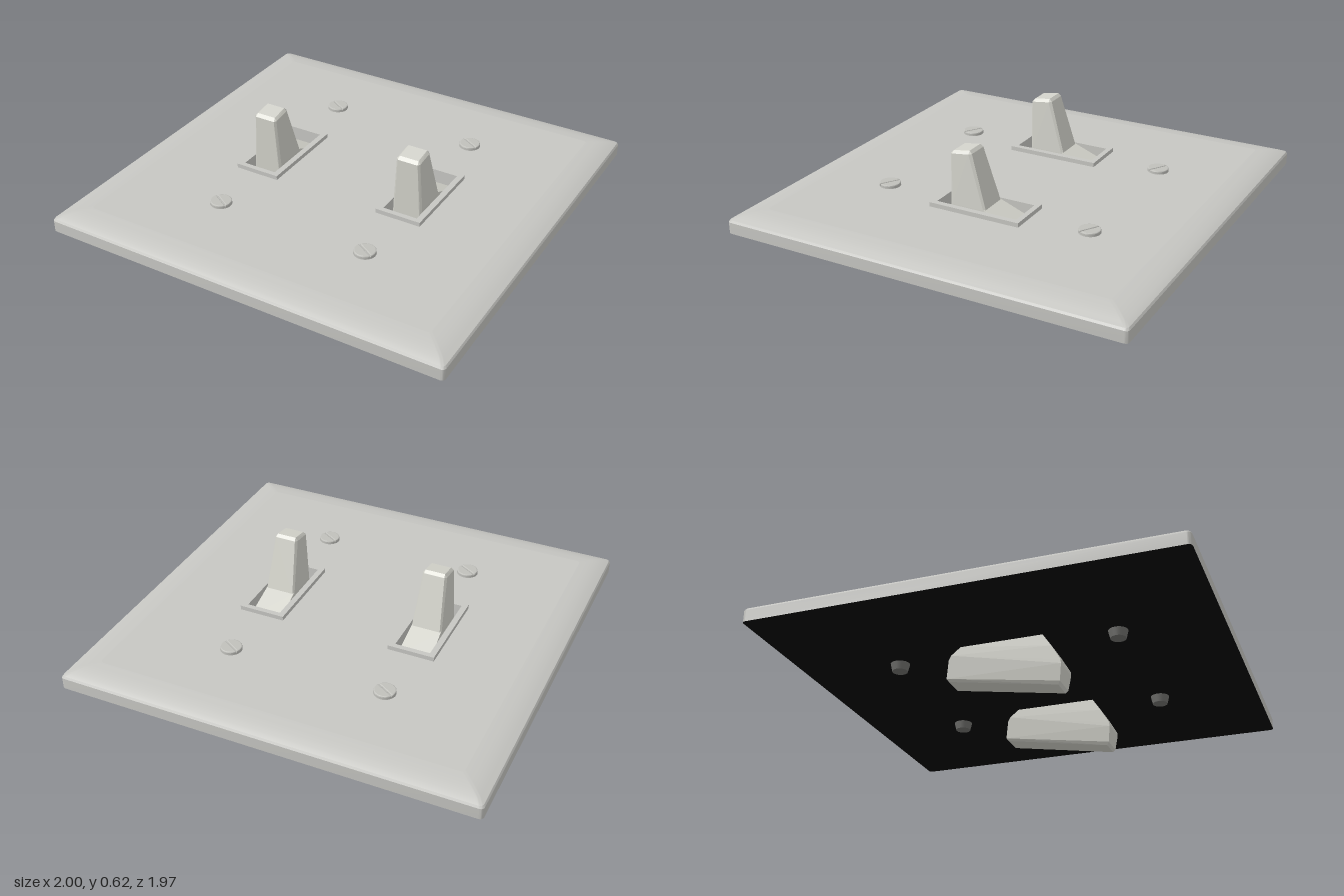
import * as THREE from 'three';
import { toCreasedNormals } from 'three/addons/utils/BufferGeometryUtils.js';
import { ConvexGeometry } from 'three/addons/geometries/ConvexGeometry.js';

const mat = (name, color) => new THREE.MeshStandardMaterial({ name, color });

// Rounded rectangle outline as 2D points, counter-clockwise
function outline(hx, hz, r) {
  const pts = [];
  [[1, 1], [-1, 1], [-1, -1], [1, -1]].forEach(([sx, sz], q) => {
    for (let i = 0; i <= 4; i++) {
      const a = (q + i / 4) * Math.PI / 2;
      pts.push(new THREE.Vector2(sx * (hx - r) + r * Math.cos(a), sz * (hz - r) + r * Math.sin(a)));
    }
  });
  return pts;
}

const rectPath = (cx, hx, hz) => [[-hx, -hz], [hx, -hz], [hx, hz], [-hx, hz]]
  .map(([x, z]) => new THREE.Vector2(cx + x, z));

// Domed rim of the wall plate, lofted through inset outlines
function plateRim(rings) {
  const pos = [], idx = [];
  let n = 0;
  rings.forEach(([inset, y]) => {
    const pts = outline(1 - inset, 0.985 - inset, 0.018);
    n = pts.length;
    pts.forEach(p => pos.push(p.x, y, -p.y));
  });
  for (let k = 0; k < rings.length - 1; k++) {
    for (let i = 0; i < n; i++) {
      const a = k * n + i, b = k * n + (i + 1) % n;
      idx.push(a, b, b + n, a, b + n, a + n);
    }
  }
  const g = new THREE.BufferGeometry();
  g.setAttribute('position', new THREE.Float32BufferAttribute(pos, 3));
  g.setIndex(idx);
  return toCreasedNormals(g, 0.5);
}

// Convex solid, symmetric in x, from rows of [z, y, halfWidth]
function hull(rows) {
  return new ConvexGeometry(rows.flatMap(([z, y, w]) =>
    [new THREE.Vector3(-w, y, z), new THREE.Vector3(w, y, z)]));
}

export function createModel() {
  const model = new THREE.Group();
  const plateMat = mat('plate grey', 0xc6c6c2);
  const toggleMat = mat('toggle ivory grey', 0xd2d2ca);
  const screwMat = mat('screw grey', 0xc0c0bb);
  const shankMat = mat('shank grey', 0x70706d);
  const slotMat = mat('slot dark grey', 0x504f4b);
  const backMat = mat('back black', 0x050505);
  const add = (parent, name, geo, material) => {
    const m = new THREE.Mesh(geo, material);
    m.name = name;
    parent.add(m);
    return m;
  };
  const CX = 0.382, TOP = 0.335, BOTTOM = 0.24;

  // Wall plate: rim, flat face with two openings, black back
  const plate = new THREE.Group();
  plate.name = 'wallPlate';
  model.add(plate);
  add(plate, 'plateRim', plateRim([[0, BOTTOM], [0, 0.295], [0.006, 0.305],
    [0.03, 0.316], [0.06, 0.325], [0.09, 0.331], [0.13, TOP]]), plateMat);
  const face = new THREE.Shape(outline(0.87, 0.855, 0.018));
  for (const s of [-1, 1]) face.holes.push(new THREE.Path(rectPath(s * CX, 0.1, 0.215)));
  add(plate, 'plateFace', new THREE.ShapeGeometry(face).rotateX(-Math.PI / 2), plateMat).position.y = TOP;
  const back = new THREE.Shape(outline(1, 0.985, 0.018));
  add(plate, 'plateBack', new THREE.ShapeGeometry(back).rotateX(Math.PI / 2), backMat).position.y = BOTTOM;

  // Raised collar round each opening, its walls reaching down into the plate
  const collarShape = new THREE.Shape(rectPath(0, 0.113, 0.23));
  collarShape.holes.push(new THREE.Path(rectPath(0, 0.085, 0.205)));
  const collarGeo = new THREE.ExtrudeGeometry(collarShape, { depth: 0.108, bevelEnabled: false })
    .rotateX(-Math.PI / 2).translate(0, 0.248, 0);
  const floorGeo = new THREE.PlaneGeometry(0.18, 0.42).rotateX(-Math.PI / 2).translate(0, 0.25, 0);

  // Switch lever with softened edges, its ramp, and the body below the plate
  const leverGeo = hull([
    [0.14, 0.25, 0.068], [0.13, 0.25, 0.077], [-0.06, 0.25, 0.077], [-0.07, 0.25, 0.07],
    [0.14, 0.355, 0.066], [0.13, 0.355, 0.074], [-0.03, 0.355, 0.074], [-0.04, 0.355, 0.067],
    [0.146, 0.592, 0.05], [0.136, 0.594, 0.059], [0.05, 0.605, 0.059], [0.037, 0.607, 0.05],
    [0.132, 0.607, 0.047], [0.05, 0.62, 0.047],
  ]);
  const rampGeo = hull([
    [-0.205, 0.25, 0.08], [-0.205, 0.288, 0.08], [-0.1, 0.318, 0.079],
    [-0.035, 0.358, 0.072], [0.02, 0.358, 0.072], [0.02, 0.25, 0.079],
  ]);
  const bodyGeo = hull([
    [0.2, 0.24, 0.077], [0.24, 0.18, 0.077], [0.28, 0.11, 0.074], [0.282, 0.09, 0.073],
    [0.272, 0.014, 0.06], [0.262, 0, 0.05], [-0.252, 0.088, 0.052], [-0.26, 0.1, 0.062],
    [-0.247, 0.185, 0.073], [-0.235, 0.205, 0.076], [-0.19, 0.24, 0.077],
  ]);

  // Screw head half: a circle segment beside the groove
  const R = 0.046, a0 = Math.asin(0.007 / R);
  const half = new THREE.Shape();
  half.absarc(0, 0, R, a0, Math.PI - a0, false);
  half.closePath();
  const halfGeo = new THREE.ExtrudeGeometry(half, {
    depth: 0.012, bevelThickness: 0.005, bevelSize: 0.005, bevelOffset: 0, bevelSegments: 2, curveSegments: 20,
  }).rotateX(-Math.PI / 2).translate(0, 0.335, 0);
  const baseGeo = new THREE.CylinderGeometry(0.05, 0.052, 0.012, 32).translate(0, 0.338, 0);
  const shankGeo = new THREE.CylinderGeometry(0.045, 0.036, 0.037, 24).translate(0, 0.2215, 0);

  for (const s of [-1, 1]) {
    const toggle = new THREE.Group();
    toggle.name = s > 0 ? 'leftSwitch' : 'rightSwitch';
    toggle.position.x = s * CX;
    model.add(toggle);
    add(toggle, 'collar', collarGeo, plateMat);
    add(toggle, 'openingFloor', floorGeo, slotMat);
    add(toggle, 'lever', leverGeo, toggleMat);
    add(toggle, 'ramp', rampGeo, toggleMat);
    add(toggle, 'switchBody', bodyGeo, toggleMat);

    for (const t of [-1, 1]) {
      const screw = new THREE.Group();
      screw.name = 'screw';
      screw.position.set(s * CX, 0, t * 0.523);
      screw.rotation.y = -0.55;
      model.add(screw);
      add(screw, 'screwBase', baseGeo, screwMat);
      add(screw, 'screwHeadHalf', halfGeo, screwMat);
      add(screw, 'screwHeadHalf', halfGeo, screwMat).rotation.y = Math.PI;
      add(screw, 'screwShank', shankGeo, shankMat);
    }
  }
  return model;
}
